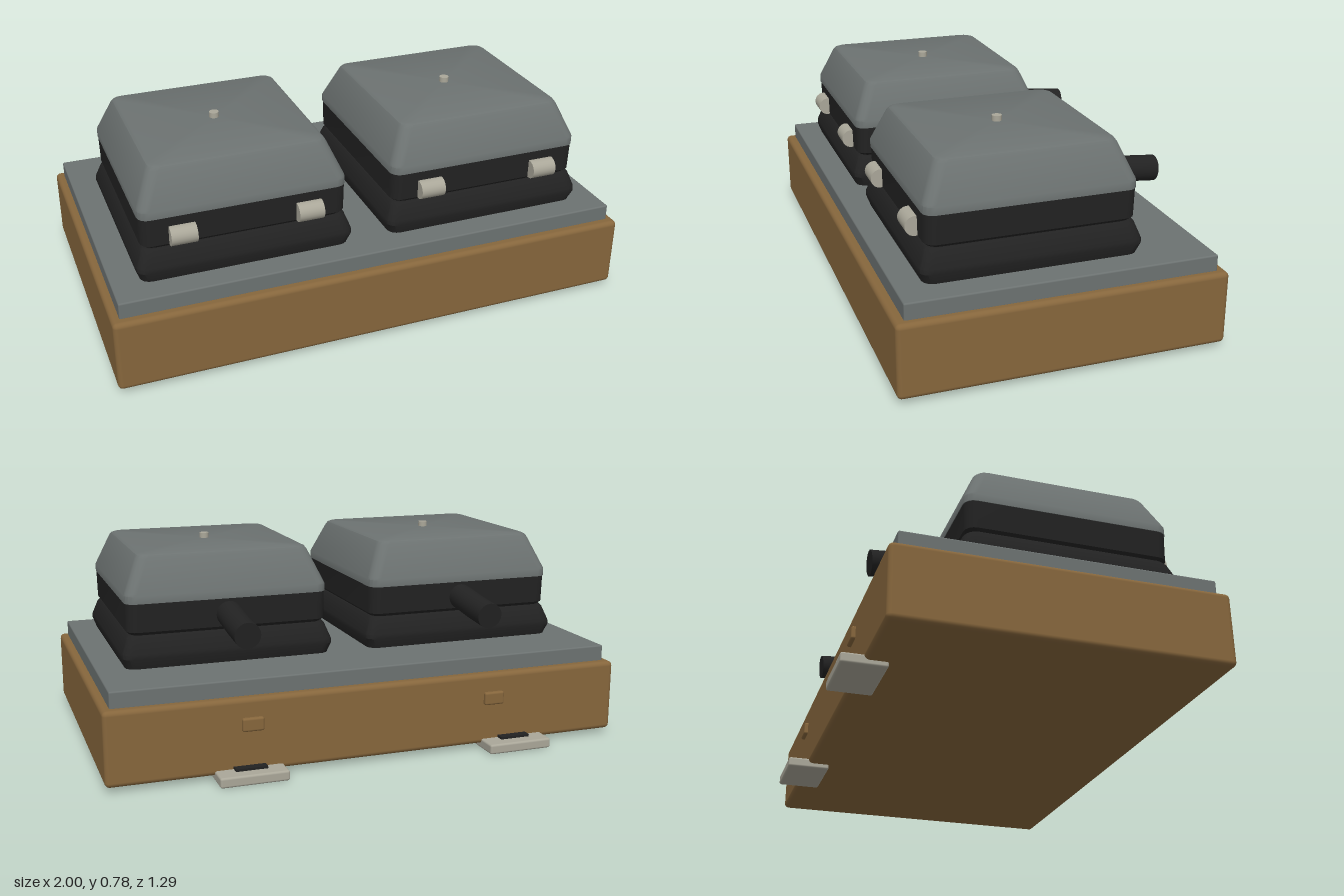
import * as THREE from 'three';
import { toCreasedNormals } from 'three/addons/utils/BufferGeometryUtils.js';
import { RoundedBoxGeometry } from 'three/addons/geometries/RoundedBoxGeometry.js';

const material = (name, color) => {
  const m = new THREE.MeshStandardMaterial({ color });
  m.name = name;
  return m;
};

// Closed stack of rounded squares; profile rows are [y, half width]
function squareLoft(profile, radius = 0.04, steps = 4) {
  const rings = profile.map(([y, half]) => {
    const ring = [];
    for (let c = 0; c < 4; c++) {
      const mid = (c + 0.5) * Math.PI / 2;
      const cx = Math.sign(Math.cos(mid)) * (half - radius);
      const cz = Math.sign(Math.sin(mid)) * (half - radius);
      for (let s = 0; s <= steps; s++) {
        const a = (c + s / steps) * Math.PI / 2;
        ring.push([cx + radius * Math.cos(a), y, cz + radius * Math.sin(a)]);
      }
    }
    return ring;
  });
  const n = rings[0].length, pos = [];
  const tri = (a, b, c) => pos.push(...a, ...b, ...c);
  const last = rings.length - 1;
  for (let i = 0; i < n; i++) {
    const j = (i + 1) % n;
    for (let r = 0; r < last; r++) {
      const lo = rings[r], hi = rings[r + 1];
      tri(lo[i], hi[i], lo[j]);
      tri(lo[j], hi[i], hi[j]);
    }
    tri([0, profile[last][0], 0], rings[last][j], rings[last][i]);
    tri([0, profile[0][0], 0], rings[0][i], rings[0][j]);
  }
  const g = new THREE.BufferGeometry();
  g.setAttribute('position', new THREE.Float32BufferAttribute(pos, 3));
  return toCreasedNormals(g, 0.5);
}

export function createModel() {
  const wood = material('brown casing', 0x86663c);
  const steel = material('grey steel', 0x6c7271);
  const black = material('black iron', 0x222222);
  const metal = material('pale metal', 0xaaa799);
  const model = new THREE.Group();
  model.name = 'doubleWaffleIron';

  const add = (parent, name, geometry, mat, x, y, z) => {
    const mesh = new THREE.Mesh(geometry, mat);
    mesh.name = name;
    mesh.position.set(x, y, z);
    parent.add(mesh);
    return mesh;
  };
  const rounded = (w, h, d, r) => new RoundedBoxGeometry(w, h, d, 3, r);

  // Casing and worktop
  add(model, 'casing', rounded(2, 0.275, 1.205, 0.018), wood, 0, 0.1575, 0.0375);
  add(model, 'worktop', rounded(1.94, 0.065, 1.135, 0.006), steel, 0, 0.3225, 0.0375);

  const lowerGeo = squareLoft([[0.35, 0.39], [0.36, 0.392], [0.394, 0.404], [0.41, 0.403], [0.465, 0.383], [0.476, 0.374]]);
  const upperGeo = squareLoft([[0.474, 0.366], [0.488, 0.38], [0.596, 0.382]]);
  const coverGeo = squareLoft([[0.594, 0.384], [0.622, 0.384], [0.63, 0.381], [0.75, 0.33], [0.76, 0.323], [0.765, 0.312]]);
  const hingeGeo = new THREE.CylinderGeometry(0.036, 0.036, 0.095, 24).rotateZ(Math.PI / 2);
  const knobGeo = new THREE.CylinderGeometry(0.018, 0.018, 0.03, 20);

  // Slightly drooping handle, swept backwards with a closed end
  const path = new THREE.CatmullRomCurve3([
    new THREE.Vector3(0, 0.538, -0.33), new THREE.Vector3(0, 0.533, -0.4),
    new THREE.Vector3(0, 0.519, -0.51), new THREE.Vector3(0, 0.508, -0.633),
  ]);
  const handleGeo = new THREE.TubeGeometry(path, 12, 0.049, 20, false);
  const capGeo = new THREE.CircleGeometry(0.049, 20);

  // Two identical irons
  for (const side of [-1, 1]) {
    const iron = new THREE.Group();
    iron.name = side < 0 ? 'rightIron' : 'leftIron';
    iron.position.set(side * 0.474, 0, 0.115);
    model.add(iron);
    add(iron, 'lowerPlate', lowerGeo, black, 0, 0, 0);
    add(iron, 'upperPlate', upperGeo, black, 0, 0, 0);
    add(iron, 'cover', coverGeo, steel, 0, 0, 0);
    add(iron, 'indicator', knobGeo, metal, 0, 0.77, 0);
    for (const h of [-1, 1]) add(iron, 'hinge', hingeGeo, metal, h * 0.234, 0.523, 0.388);
    add(iron, 'handle', handleGeo, black, 0, 0, 0);
    const cap = add(iron, 'handleEnd', capGeo, black, 0, 0.508, -0.633);
    cap.quaternion.setFromUnitVectors(new THREE.Vector3(0, 0, 1), path.getTangent(1));
  }

  // Rear latches under the casing, with dark pads and small buttons above
  for (const x of [-0.558, 0.488]) {
    add(model, 'latch', rounded(0.254, 0.038, 0.165, 0.008), metal, x, 0.02, -0.5625);
    add(model, 'latchPad', new THREE.BoxGeometry(0.118, 0.012, 0.05), black, x, 0.042, -0.572);
  }
  for (const x of [-0.475, 0.474])
    add(model, 'rearButton', rounded(0.08, 0.05, 0.034, 0.008), wood, x, 0.2, -0.563);

  return model;
}
